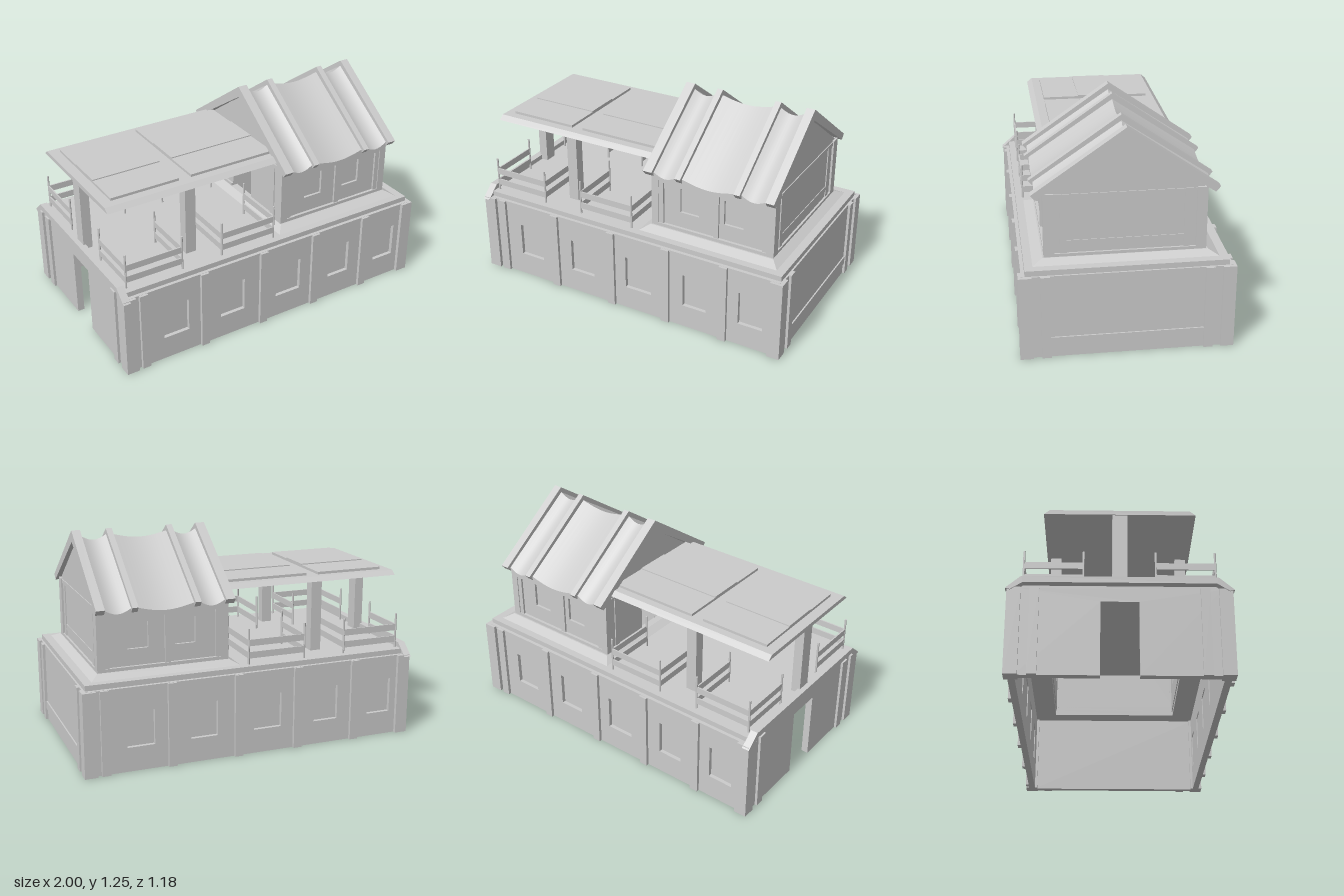
import * as THREE from 'three';

const mat = new THREE.MeshStandardMaterial({ color: 0xcccccc, flatShading: true });
const thinMat = new THREE.MeshStandardMaterial({ color: 0xcccccc, side: THREE.DoubleSide });

function add(parent, name, geo, material = mat) {
  const mesh = new THREE.Mesh(geo, material);
  mesh.name = name;
  parent.add(mesh);
  return mesh;
}

// Box given by its limits on each axis
function box(parent, name, x0, x1, y0, y1, z0, z1) {
  const geo = new THREE.BoxGeometry(x1 - x0, y1 - y0, z1 - z0);
  geo.translate((x0 + x1) / 2, (y0 + y1) / 2, (z0 + z1) / 2);
  return add(parent, name, geo);
}

function shapeOf(points, holes = []) {
  const toVec = (list) => list.map(([a, b]) => new THREE.Vector2(a, b));
  const shape = new THREE.Shape(toVec(points));
  for (const h of holes) shape.holes.push(new THREE.Path(toVec(h)));
  return shape;
}

const rect = (a0, a1, b0, b1) => [[a0, b0], [a1, b0], [a1, b1], [a0, b1]];

// Outline in x, y extruded from z0 to z1
function slabZ(parent, name, points, holes, z0, z1) {
  const geo = new THREE.ExtrudeGeometry(shapeOf(points, holes), { depth: z1 - z0, bevelEnabled: false });
  return add(parent, name, geo.translate(0, 0, z0));
}

// Outline in -z, y extruded from x0 to x1
function slabX(parent, name, points, holes, x0, x1) {
  const geo = new THREE.ExtrudeGeometry(shapeOf(points, holes), { depth: x1 - x0, bevelEnabled: false });
  return add(parent, name, geo.rotateY(Math.PI / 2).translate(x0, 0, 0));
}

// Long wall facing +z with recessed window panes
function windowWall(parent, x0, x1, y0, y1, zIn, zOut, windows, wy0, wy1) {
  const holes = windows.map(([a, b]) => rect(a, b, wy0, wy1));
  slabZ(parent, 'windowWall', rect(x0, x1, y0, y1), holes, zIn, zOut);
  for (const [a, b] of windows) box(parent, 'windowPane', a, b, wy0, wy1, zIn + 0.005, zIn + 0.015);
}

// Lower storey, open underneath; the back is the front turned half round
function lowerStorey() {
  const g = new THREE.Group();
  g.name = 'lowerStorey';
  for (const turn of [0, Math.PI]) {
    const side = new THREE.Group();
    side.name = 'longSide';
    side.rotation.y = turn;
    windowWall(side, -0.98, 0.98, 0, 0.485, 0.525, 0.562,
      [[-0.75, -0.59], [-0.38, -0.22], [0, 0.17], [0.38, 0.53], [0.73, 0.88]], 0.14, 0.345);
    for (const x of [-0.872, -0.49, -0.095, 0.27, 0.637])
      box(side, 'pilaster', x - 0.025, x + 0.025, 0, 0.485, 0.555, 0.58);
    box(side, 'cornerPost', 0.92, 0.995, 0, 0.485, 0.51, 0.582);
    box(side, 'cornerPost', -0.995, -0.92, 0, 0.485, 0.51, 0.582);
    for (const s of [-1, 1])
      box(side, 'endPilaster', 0.97, 0.995, 0, 0.485, s * 0.44 - 0.025, s * 0.44 + 0.025);
    g.add(side);
  }
  box(g, 'endWall', 0.94, 0.98, 0, 0.485, -0.53, 0.53);
  box(g, 'endRail', 0.97, 0.988, 0.07, 0.12, -0.415, 0.415);
  slabX(g, 'doorwayWall', [[-0.53, 0], [-0.1, 0], [-0.1, 0.41], [0.1, 0.41], [0.1, 0],
    [0.53, 0], [0.53, 0.485], [-0.53, 0.485]], [], -0.98, -0.94);

  // Deck with an opening into the house
  const deck = new THREE.ExtrudeGeometry(shapeOf(rect(-0.96, 0.97, -0.545, 0.545), [rect(0.15, 0.83, -0.395, 0.395)]),
    { depth: 0.032, bevelEnabled: false });
  add(g, 'deck', deck.rotateX(-Math.PI / 2).translate(0, 0.484, 0));
  // Eave strips between deck and walls
  for (const s of [-1, 1]) box(g, 'eaveStrip', -0.96, 0.97, 0.475, 0.486, s * 0.545 - 0.02, s * 0.545 + 0.02);
  // Angled trim over the doorway end
  slabX(g, 'endTrim', [[-0.59, 0.475], [-0.565, 0.468], [-0.5, 0.51], [0.5, 0.51], [0.565, 0.468],
    [0.59, 0.475], [0.51, 0.545], [-0.51, 0.545]], [], -1, -0.957);
  return g;
}

// Upper house
function house() {
  const g = new THREE.Group();
  g.name = 'house';
  const cx = 0.49;

  // Sloping skirt: a box whose top corners are pulled in
  const skirt = new THREE.ExtrudeGeometry(shapeOf(rect(-0.435, 0.435, -0.505, 0.505), [rect(-0.34, 0.34, -0.395, 0.395)]),
    { depth: 0.027, bevelEnabled: false });
  skirt.rotateX(-Math.PI / 2);
  const p = skirt.attributes.position;
  for (let i = 0; i < p.count; i++) {
    if (p.getY(i) > 0.01 && Math.abs(p.getX(i)) > 0.4) {
      p.setX(i, Math.sign(p.getX(i)) * 0.385);
      p.setZ(i, Math.sign(p.getZ(i)) * 0.445);
    }
  }
  skirt.computeVertexNormals();
  add(g, 'skirt', skirt.translate(cx, 0.514, 0));

  for (const turn of [0, Math.PI]) {
    const side = new THREE.Group();
    side.name = 'houseSide';
    side.position.x = cx;
    side.rotation.y = turn;
    windowWall(side, -0.37, 0.37, 0.515, 0.895, 0.39, 0.42, [[-0.205, -0.085], [0.07, 0.19]], 0.655, 0.805);
    for (const x of [-0.325, 0.025, 0.325])
      box(side, 'pilaster', x - 0.016, x + 0.016, 0.56, 0.895, 0.41, 0.432);
    box(side, 'baseRail', -0.37, 0.37, 0.53, 0.56, 0.41, 0.437);
    for (const s of [-1, 1]) {
      box(side, 'cornerPost', s * 0.36 - 0.022, s * 0.36 + 0.022, 0.53, 0.9, 0.38, 0.437);
      box(side, 'endPilaster', 0.36, 0.376, 0.54, 0.895, s * 0.332 - 0.018, s * 0.332 + 0.018);
    }
    box(side, 'endBaseRail', 0.36, 0.382, 0.53, 0.558, turn ? 0.1 : -0.435, 0.435);
    if (turn) box(side, 'endBaseRail', 0.36, 0.382, 0.53, 0.558, -0.435, -0.1);
    else box(side, 'endRail', 0.36, 0.374, 0.595, 0.63, -0.315, 0.315);
    g.add(side);
  }
  const gable = [[-0.42, 0.515], [0.42, 0.515], [0.42, 0.9], [0, 1.195], [-0.42, 0.9]];
  slabX(g, 'gableWall', gable, [], 0.83, 0.86);
  slabX(g, 'gableWall', gable, [rect(-0.1, 0.1, 0.54, 0.8)], 0.12, 0.15);
  for (const x of [0.115, 0.835]) box(g, 'tieBeam', x, x + 0.03, 0.87, 0.895, -0.435, 0.435);

  // Roof ribs
  const chevron = [[0, 1.255], [-0.5, 0.905], [-0.475, 0.875], [0, 1.19], [0.475, 0.875], [0.5, 0.905]];
  const ribs = [[0.09, 0.145], [0.29, 0.325], [0.65, 0.685], [0.835, 0.885]];
  for (const [a, b] of ribs) slabX(g, 'roofRib', chevron, [], a, b);

  // Sagging roof panels between the ribs
  for (let i = 0; i < 3; i++) {
    const x0 = ribs[i][1], x1 = ribs[i + 1][0], w = x1 - x0;
    for (const turn of [0, Math.PI]) {
      const geo = new THREE.BoxGeometry(w, 0.025, 0.475, 10, 1, 1).translate(0, 0, 0.2375);
      const q = geo.attributes.position;
      for (let k = 0; k < q.count; k++) {
        const sag = 0.027 * Math.cos((q.getX(k) / w) * Math.PI);
        q.setY(k, q.getY(k) + 1.209 - 0.68 * q.getZ(k) - sag);
      }
      geo.computeVertexNormals();
      const m = add(g, 'roofPanel', geo, thinMat);
      m.position.x = (x0 + x1) / 2;
      m.rotation.y = turn;
    }
  }
  return g;
}

// Flat canopy on posts over the deck
function canopy() {
  const g = new THREE.Group();
  g.name = 'canopy';
  slabX(g, 'canopyRoof', [[-0.405, 0.935], [0.405, 0.935], [0.375, 0.96], [-0.375, 0.96]], [], -0.975, 0.11);
  for (const [a, b] of [[-0.915, -0.5], [-0.425, 0.11]]) {
    box(g, 'canopyPanel', a, b, 0.955, 0.975, -0.33, -0.11);
    box(g, 'canopyPanel', a, b, 0.955, 0.981, -0.11, 0.105);
    box(g, 'canopyPanel', a, b, 0.955, 0.975, 0.105, 0.325);
  }
  box(g, 'canopyPost', -0.97, -0.915, 0.51, 0.94, -0.04, 0.04);
  for (const s of [-1, 1])
    box(g, 'canopyPost', -0.5, -0.435, 0.51, 0.94, s * 0.355 - 0.03, s * 0.355 + 0.03);
  return g;
}

// Railing: front rail and two sides, with thin corner posts
function railing(x0, x1, s) {
  const g = new THREE.Group();
  g.name = 'railing';
  const zOut = s * 0.502, zIn = s * 0.19;
  const zMin = Math.min(zOut, zIn), zMax = Math.max(zOut, zIn);
  for (const [y0, y1] of [[0.55, 0.588], [0.622, 0.66]]) {
    box(g, 'rail', x0, x1, y0, y1, zOut - 0.004, zOut + 0.004);
    for (const x of [x0, x1]) box(g, 'sideRail', x - 0.004, x + 0.004, y0, y1, zMin, zMax);
  }
  for (const x of [x0, x1])
    for (const z of [zOut, zIn])
      add(g, 'railPost', new THREE.CylinderGeometry(0.006, 0.006, 0.213, 6).translate(x, 0.618, z));
  return g;
}

export function createModel() {
  const model = new THREE.Group();
  model.name = 'building';
  model.add(lowerStorey(), house(), canopy());
  for (const s of [-1, 1]) model.add(railing(-0.938, -0.592, s), railing(-0.337, 0.01, s));
  return model;
}
